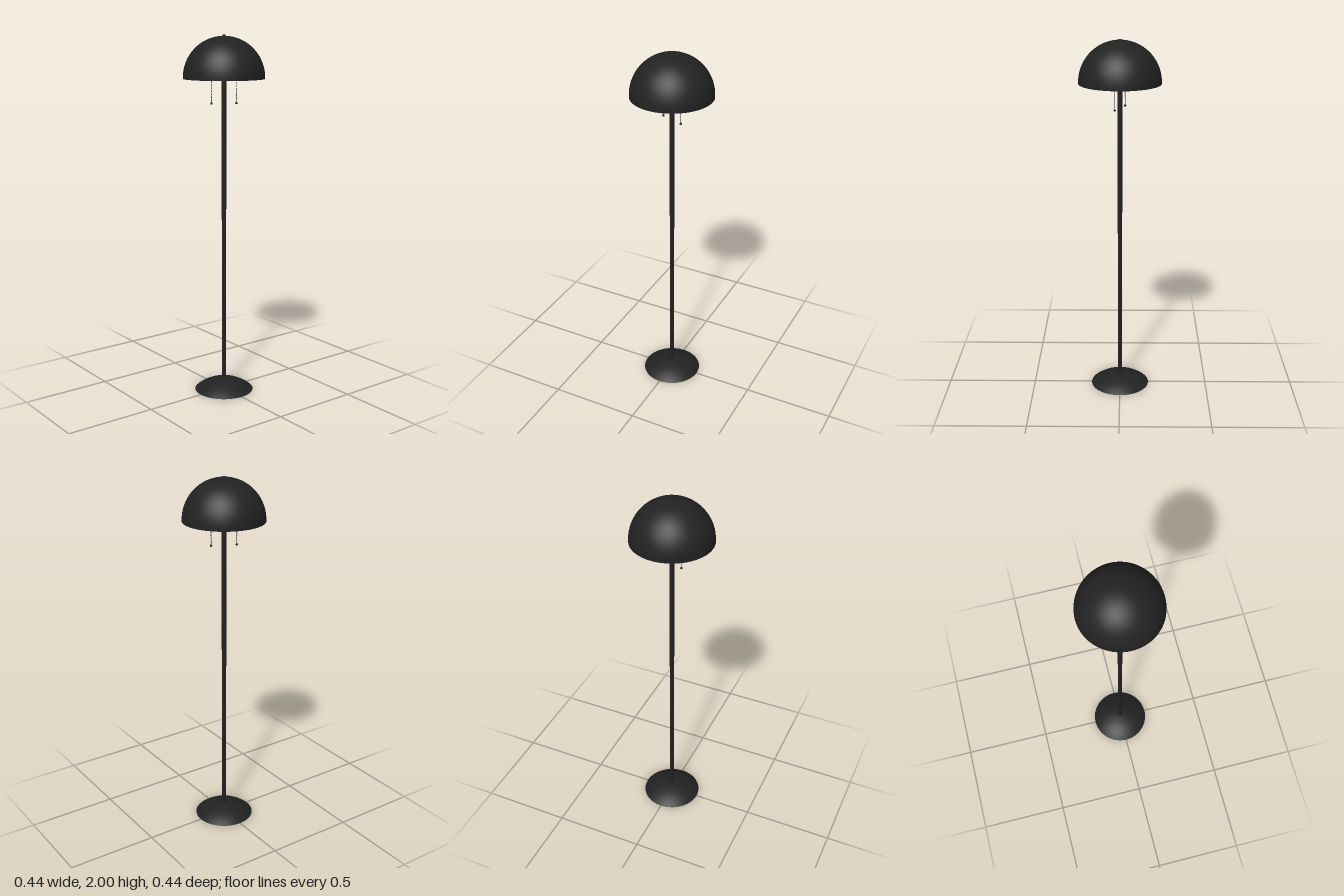
import * as THREE from 'three';

const black = new THREE.MeshStandardMaterial({ color: 0x222222 });
black.name = 'matte black';
const white = new THREE.MeshStandardMaterial({ color: 0xf2f4f5 });
white.name = 'white';

function add(parent, name, geometry, material, x = 0, y = 0, z = 0) {
  const mesh = new THREE.Mesh(geometry, material);
  mesh.name = name;
  mesh.position.set(x, y, z);
  parent.add(mesh);
  return mesh;
}

// Circular arc profile around (0, cy), from angle a0 to a1
function arc(radius, cy, a0, a1, steps) {
  return Array.from({ length: steps + 1 }, (_, i) => {
    const a = a0 + ((a1 - a0) * i) / steps;
    return new THREE.Vector2(Math.max(0, radius * Math.cos(a)), cy + radius * Math.sin(a));
  });
}

const lathe = (points) => new THREE.LatheGeometry(points, 64);

// One socket with its bulb and pull chain, on the +x side
function createLight() {
  const light = new THREE.Group();
  const y = 1.84;
  const ax = 0.05;
  add(light, 'arm', new THREE.CylinderGeometry(0.007, 0.007, ax, 16), black, ax / 2, y, 0).rotation.z = Math.PI / 2;
  add(light, 'socket', new THREE.CylinderGeometry(0.018, 0.018, 0.05, 24), black, ax, y, 0.01).rotation.x = Math.PI / 2;
  add(light, 'socketCollar', new THREE.CylinderGeometry(0.021, 0.021, 0.01, 24), black, ax, y, 0.03).rotation.x = Math.PI / 2;

  // Bulb with a narrow neck, pointing along +z
  const neck = [new THREE.Vector2(0.013, 0), new THREE.Vector2(0.015, 0.012)];
  const bulb = lathe([...neck, ...arc(0.034, 0.045, -0.9, Math.PI / 2, 20)]);
  add(light, 'bulb', bulb, white, ax, y, 0.033).rotation.x = Math.PI / 2;

  // Beaded pull chain with an end ball
  const cx = 0.064, cz = 0.027, end = 1.637;
  add(light, 'chainCord', new THREE.CylinderGeometry(0.001, 0.001, y - end, 6), black, cx, (y + end) / 2, cz);
  const bead = new THREE.SphereGeometry(0.0022, 8, 6);
  for (let by = end + 0.008; by < y; by += 0.008) add(light, 'chainBead', bead, black, cx, by, cz);
  add(light, 'chainPull', new THREE.SphereGeometry(0.0065, 16, 12), black, cx, end, cz);
  return light;
}

export function createModel() {
  const lamp = new THREE.Group();
  lamp.name = 'floorLamp';

  // Domed foot with a flat underside
  const r = 0.165, h = 0.06;
  const R = (r * r + h * h) / (2 * h);
  add(lamp, 'baseDome', lathe(arc(R, h - R, Math.acos(r / R), Math.PI / 2, 20)), black);
  add(lamp, 'baseUnderside', new THREE.CircleGeometry(r, 64), black).rotation.x = Math.PI / 2;

  add(lamp, 'pole', new THREE.CylinderGeometry(0.0125, 0.0125, 1.94, 32), black, 0, 1.015, 0);
  add(lamp, 'poleCollar', new THREE.CylinderGeometry(0.017, 0.017, 0.012, 32), black, 0, 0.063, 0);

  // Hemispherical shade: black shell, white lining and a thin rim
  const rim = 1.768, cy = 1.774, outer = 0.221, inner = 0.217;
  const shell = [new THREE.Vector2(outer, rim), ...arc(outer, cy, 0, Math.PI / 2, 32)];
  add(lamp, 'shadeShell', lathe(shell), black);
  const lining = [new THREE.Vector2(inner, rim), ...arc(inner, cy, 0, Math.PI / 2, 32)].reverse();
  add(lamp, 'shadeLining', lathe(lining), white);
  add(lamp, 'shadeRim', new THREE.RingGeometry(inner, outer, 64), black, 0, rim, 0).rotation.x = Math.PI / 2;

  add(lamp, 'finial', new THREE.CylinderGeometry(0.009, 0.009, 0.014, 24), black, 0, 1.993, 0);

  // Hub and the two opposed lights
  add(lamp, 'hub', new THREE.CylinderGeometry(0.024, 0.024, 0.04, 32), black, 0, 1.84, 0);
  for (const [name, turn] of [['leftLight', 0], ['rightLight', Math.PI]]) {
    const light = createLight();
    light.name = name;
    light.rotation.y = turn;
    lamp.add(light);
  }
  return lamp;
}
